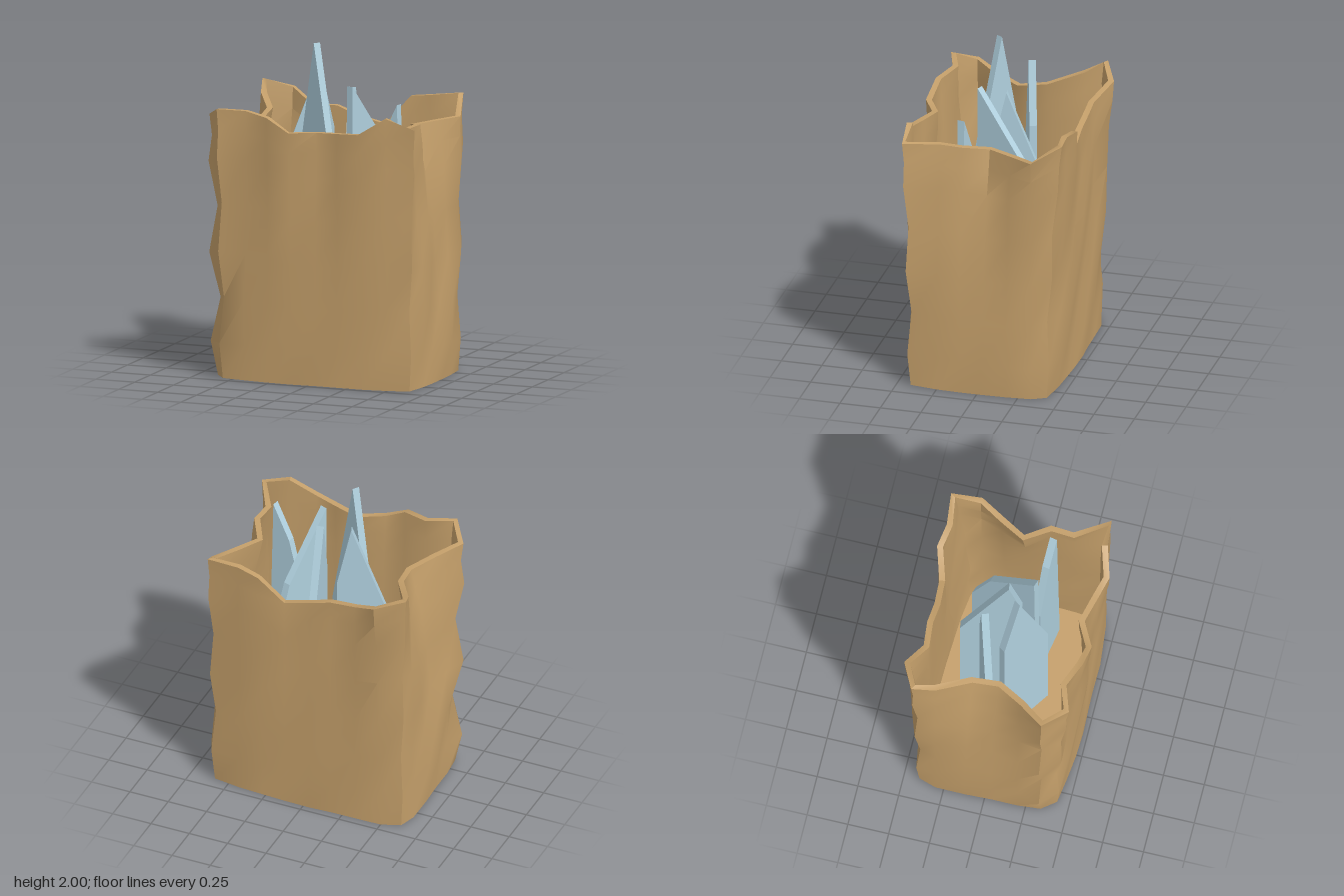
import * as THREE from 'three';
import { toCreasedNormals } from 'three/addons/utils/BufferGeometryUtils.js';

// One row per column of the bag wall: rim x, z, y, then base x, z
const COLUMNS = [
  // back
  [-0.665, -0.445, 1.66, -0.62, -0.41], [-0.49, -0.53, 1.61, -0.5, -0.44], [-0.33, -0.45, 1.53, -0.34, -0.45],
  [-0.18, -0.465, 1.53, -0.18, -0.455], [-0.04, -0.455, 1.48, -0.04, -0.455], [0.12, -0.465, 1.44, 0.12, -0.45],
  [0.27, -0.515, 1.61, 0.27, -0.45], [0.41, -0.49, 1.63, 0.43, -0.44],
  // left side
  [0.6, -0.51, 1.65, 0.6, -0.42], [0.655, -0.33, 1.54, 0.645, -0.33], [0.57, -0.18, 1.535, 0.655, -0.18],
  [0.49, -0.035, 1.53, 0.655, -0.03], [0.575, 0.11, 1.56, 0.65, 0.11], [0.565, 0.25, 1.56, 0.65, 0.25],
  // front
  [0.68, 0.455, 1.59, 0.635, 0.42], [0.5, 0.475, 1.65, 0.5, 0.445], [0.34, 0.525, 1.55, 0.34, 0.46],
  [0.19, 0.485, 1.54, 0.19, 0.465], [0.045, 0.445, 1.53, 0.045, 0.465], [-0.105, 0.525, 1.53, -0.105, 0.465],
  [-0.255, 0.505, 1.61, -0.255, 0.46], [-0.41, 0.445, 1.63, -0.41, 0.45],
  // right side
  [-0.575, 0.5, 1.64, -0.57, 0.43], [-0.68, 0.355, 1.58, -0.645, 0.34], [-0.57, 0.2, 1.55, -0.64, 0.2],
  [-0.48, 0.045, 1.53, -0.645, 0.04], [-0.5, -0.11, 1.55, -0.645, -0.12], [-0.62, -0.31, 1.6, -0.64, -0.3],
];
const ROWS = [0, 0.13, 0.3, 0.47, 0.65, 0.82, 0.92, 1];
const WALL = 0.036;
const FLOOR = 0.03;

// Crumpled outer wall: straight at the bottom, folding gradually into the rim
function outerRing(t, i) {
  const w = t * t;
  const crumple = Math.min(1, 0.4 + 4 * t) * (1 - t ** 4);
  const zigzag = i % 2 ? 1 : -1;
  return COLUMNS.map(([rx, rz, ry, bx, bz], j) => {
    const side = Math.abs(bx) > 0.55;
    const front = Math.abs(bz) > 0.37;
    const loose = bx < -0.55 && bz > 0.33 && !front;
    const corner = side && Math.abs(bz) > 0.32;
    const wave = 0.013 * Math.sin(j * 1.7 + i * 1.9) + 0.008;
    const dent = crumple * (loose ? 0.035 * zigzag : corner ? 0.012 * zigzag : wave);
    return new THREE.Vector3(
      THREE.MathUtils.lerp(bx, rx, w) + (side ? Math.sign(bx) * dent : 0),
      ry * t,
      THREE.MathUtils.lerp(bz, rz, w) + (front ? Math.sign(bz) * dent : 0));
  });
}

// Same ring moved inward by the paper thickness
function innerRing(ring) {
  const n = ring.length;
  return ring.map((p, j) => {
    const d = ring[(j + 1) % n].clone().sub(ring[(j + n - 1) % n]).setY(0).normalize();
    return new THREE.Vector3(p.x - d.z * WALL, Math.max(p.y, FLOOR), p.z + d.x * WALL);
  });
}

function bagGeometry() {
  const outer = ROWS.map(outerRing);
  const inner = outer.map(innerRing).reverse();
  const centre = (y) => COLUMNS.map(() => new THREE.Vector3(0, y, 0));
  const layers = [centre(0), ...outer, ...inner, centre(FLOOR)];
  const n = COLUMNS.length;
  const index = [];
  for (let i = 0; i < layers.length - 1; i++) {
    for (let j = 0; j < n; j++) {
      const k = (j + 1) % n;
      const a = i * n + j, b = i * n + k, c = a + n, d = b + n;
      if (i > 0) index.push(a, c, b);
      if (i < layers.length - 2) index.push(b, c, d);
    }
  }
  const geometry = new THREE.BufferGeometry().setFromPoints(layers.flat());
  geometry.setIndex(index);
  return toCreasedNormals(geometry, 0.75);
}

// Upright pointed slab between two floor points; profile is [distance 0..1, height]
function shard(from, to, profile, material) {
  const dx = to[0] - from[0], dz = to[1] - from[1];
  const length = Math.hypot(dx, dz);
  const shape = new THREE.Shape([[0, FLOOR], ...profile, [1, FLOOR]]
    .map(([s, y]) => new THREE.Vector2(s * length, y)));
  const geometry = new THREE.ExtrudeGeometry(shape, { depth: 0.045, bevelEnabled: false });
  geometry.translate(0, 0, -0.0225);
  const mesh = new THREE.Mesh(geometry, material);
  mesh.position.set(from[0], 0, from[1]);
  mesh.rotation.y = -Math.atan2(dz, dx);
  return mesh;
}

export function createModel() {
  const paper = new THREE.MeshStandardMaterial({ color: 0xc49f6a });
  paper.name = 'brown paper';
  const glass = new THREE.MeshStandardMaterial({ color: 0xb0d0de });
  glass.name = 'pale blue';

  const model = new THREE.Group();
  model.name = 'bagWithShards';

  const bag = new THREE.Mesh(bagGeometry(), paper);
  bag.name = 'paperBag';
  model.add(bag);

  // Pointed pieces standing in the bag
  const shards = new THREE.Group();
  shards.name = 'shards';
  [
    [[-0.21, 0], [0.08, 0.195], [[0, 1.42], [0.36, 2], [1, 1.1]]],
    [[-0.45, -0.01], [-0.08, -0.145], [[0, 1.02], [0.78, 1.84], [1, 1.45]]],
    [[0.035, -0.315], [0.095, 0.05], [[0, 1], [0.79, 1.73], [1, 1.4]]],
    [[0.28, -0.29], [0.125, 0.14], [[0, 0.97], [0.28, 1.36], [0.97, 1.76]]],
    [[0.215, 0.11], [0.495, 0.16], [[0, 0.96], [0.46, 1.46], [0.86, 1.68]]],
  ].forEach(([from, to, profile], i) => {
    const piece = shard(from, to, profile, glass);
    piece.name = `shard${i + 1}`;
    shards.add(piece);
  });
  model.add(shards);
  return model;
}
